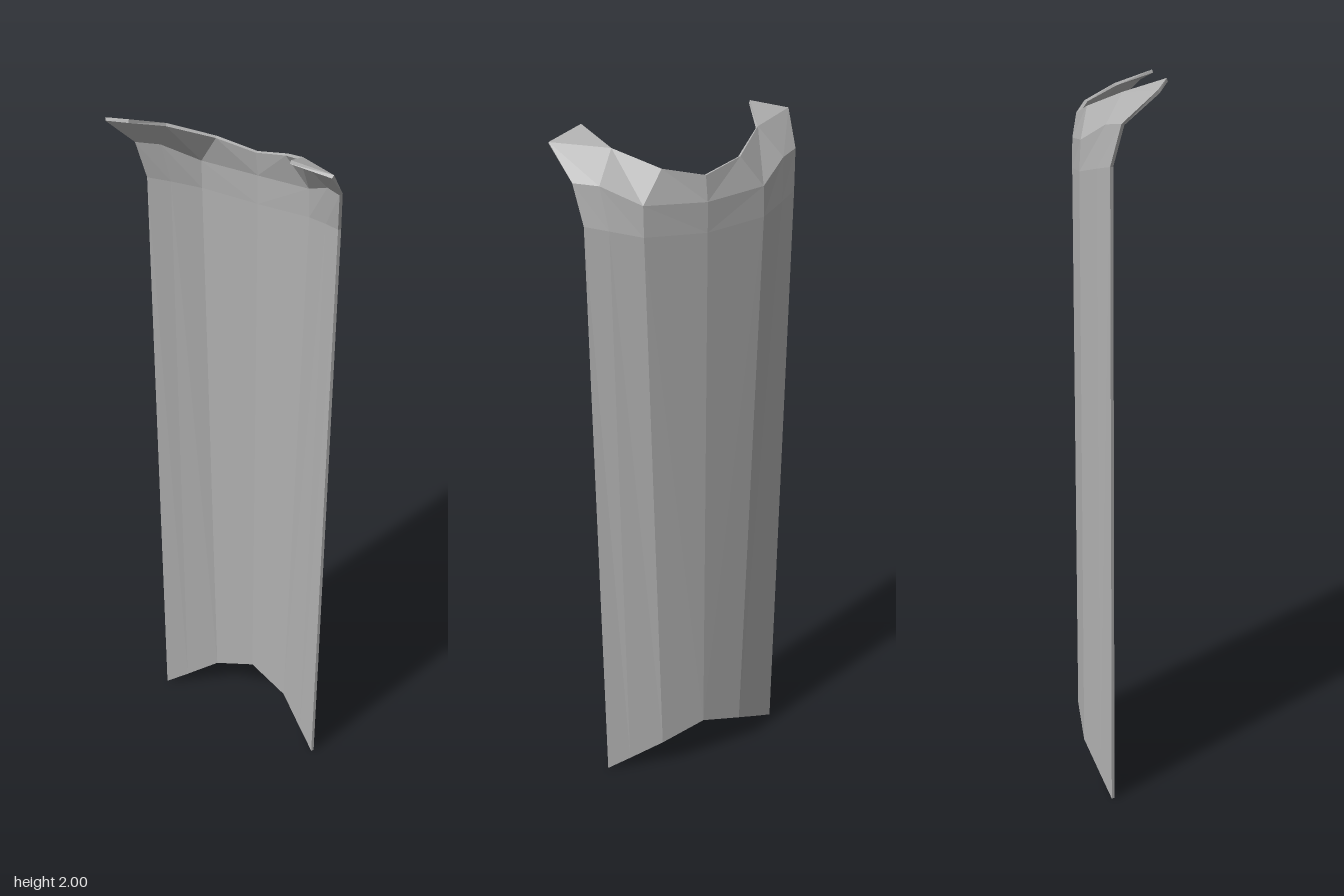
import * as THREE from 'three';

// Outer surface, half of each row: centre, mid, outer-mid, edge (x, y, z)
const ROWS = [
  [[0, 0.155, -0.116], [0.133, 0.105, -0.102], [0.225, 0.042, -0.058], [0.288, 0, -0.028]],
  [[0, 1.755, -0.119], [0.168, 1.765, -0.104], [0.243, 1.78, -0.063], [0.297, 1.79, -0.031]],
  [[0, 1.835, -0.118], [0.167, 1.845, -0.1], [0.256, 1.89, -0.04], [0.312, 1.895, -0.004]],
  [[0, 1.9, -0.107], [0.108, 1.925, -0.082], [0.203, 1.965, 0.004], [0.336, 1.976, 0.082]],
];
const HORN_TIP = [0.237, 2, 0.112];
const THICKNESS = 0.009;

// Close an open surface into a shell of even thickness
function shell(points, index, thickness) {
  const skin = new THREE.BufferGeometry();
  skin.setAttribute('position', new THREE.Float32BufferAttribute(points.flat(), 3));
  skin.setIndex(index);
  skin.computeVertexNormals();
  const nrm = skin.attributes.normal;
  const n = points.length;
  const inner = points.map((p, i) => [
    p[0] - nrm.getX(i) * thickness,
    p[1] - nrm.getY(i) * thickness,
    p[2] - nrm.getZ(i) * thickness,
  ]);
  const faces = [...index];
  const edges = new Set();
  for (let i = 0; i < index.length; i += 3) {
    const t = index.slice(i, i + 3);
    faces.push(t[0] + n, t[2] + n, t[1] + n);
    t.forEach((u, k) => edges.add(`${u},${t[(k + 1) % 3]}`));
  }
  // Rim along every edge used by only one face
  for (const e of edges) {
    const [u, v] = e.split(',').map(Number);
    if (!edges.has(`${v},${u}`)) faces.push(v, u, u + n, v, u + n, v + n);
  }
  let geo = new THREE.BufferGeometry();
  geo.setAttribute('position', new THREE.Float32BufferAttribute([...points, ...inner].flat(), 3));
  geo.setIndex(faces);
  geo = geo.toNonIndexed();
  geo.computeVertexNormals();
  return geo;
}

export function createModel() {
  const group = new THREE.Group();
  group.name = 'curvedGuard';
  const grey = new THREE.MeshStandardMaterial({ color: 0xb0b0b0, flatShading: true });
  grey.name = 'plainGrey';

  // Mirror each half row to a full row of seven points
  const mirror = ([x, y, z]) => [-x, y, z];
  const points = ROWS.flatMap((r) => [...r.slice(1).reverse().map(mirror), ...r]);
  const id = (r, c) => r * 7 + c;

  const index = [];
  for (let r = 0; r < 3; r++) {
    for (let c = 0; c < 6; c++) {
      const a = id(r, c), b = id(r, c + 1), d = id(r + 1, c + 1), e = id(r + 1, c);
      if (c >= 3) index.push(a, d, b, a, e, d);
      else index.push(a, e, b, b, e, d);
    }
  }

  // Forward-pointing horns at both top corners
  points.push(HORN_TIP, mirror(HORN_TIP));
  index.push(id(3, 6), id(3, 5), 28);
  index.push(id(3, 1), id(3, 0), 29);

  const plate = new THREE.Mesh(shell(points, index, THICKNESS), grey);
  plate.name = 'guardPlate';
  group.add(plate);
  return group;
}
